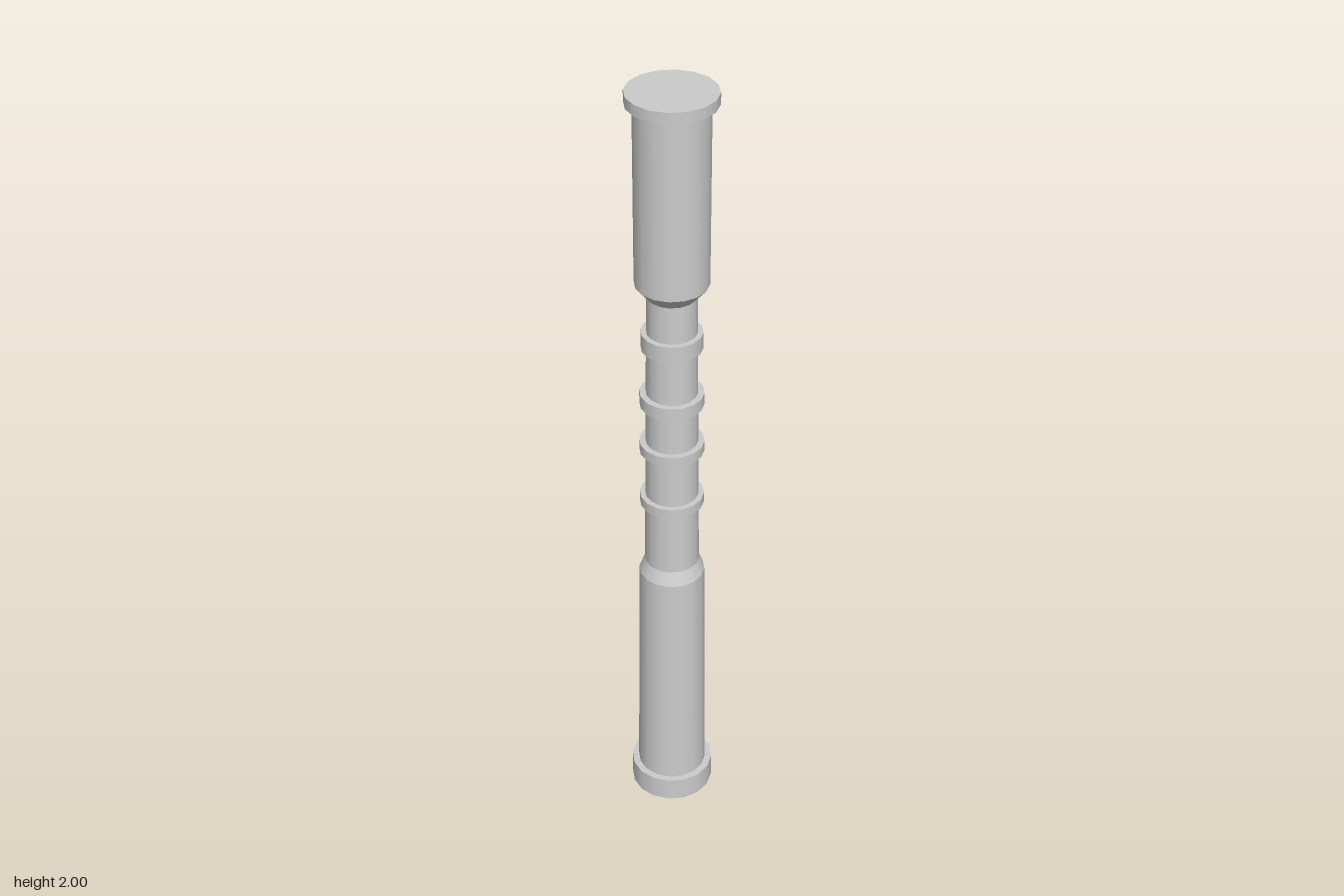
import * as THREE from 'three';

const SIDES = 16;

export function createModel() {
  const group = new THREE.Group();
  group.name = 'column';
  const material = new THREE.MeshStandardMaterial({ color: 0xcccccc });

  // One turned section between two heights, smooth around and sharp at its ends
  const section = (name, y0, y1, r0, r1 = r0, open = false) => {
    const geometry = new THREE.CylinderGeometry(r1, r0, y1 - y0, SIDES, 1, open);
    const mesh = new THREE.Mesh(geometry, material);
    mesh.name = name;
    mesh.position.y = (y0 + y1) / 2;
    group.add(mesh);
  };

  // Base plinth and top cap
  section('base', 0, 0.065, 0.105);
  section('topCap', 1.973, 2, 0.105);

  // Thick lower shaft, tapering slightly, with a sloped shoulder
  section('lowerShaft', 0.065, 0.705, 0.088, 0.081, true);
  section('lowerShoulder', 0.705, 0.74, 0.081, 0.067, true);

  // Slim middle shaft
  section('middleShaft', 0.74, 1.495, 0.067, 0.059, true);

  // Raised rings around the middle shaft
  const rings = [
    [0.914, 0.94, 0.078],
    [1.067, 1.094, 0.078],
    [1.2, 1.232, 0.077],
    [1.356, 1.399, 0.073],
  ];
  rings.forEach(([y0, y1, r], i) => section(`ring${i + 1}`, y0, y1, r));

  // Flared collar and thick upper shaft
  section('upperCollar', 1.495, 1.528, 0.059, 0.087, true);
  section('upperShaft', 1.528, 1.973, 0.087, 0.087, true);

  return group;
}
